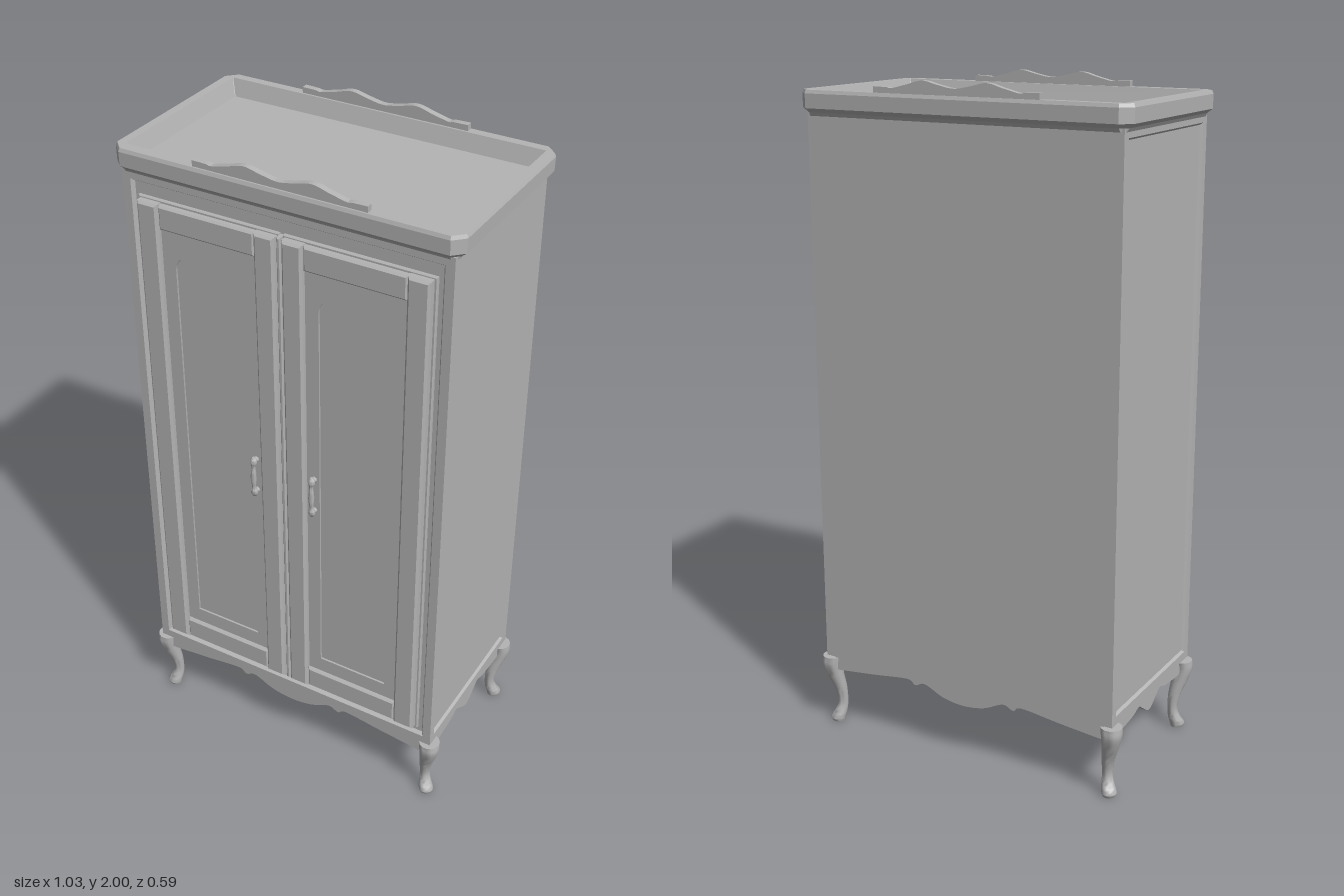
import * as THREE from 'three';
import { toCreasedNormals } from 'three/addons/utils/BufferGeometryUtils.js';

const wood = new THREE.MeshStandardMaterial({ color: 0xb4b4b4 });
wood.name = 'grey wood';

// Joins equal-length loops (counter-clockwise seen from +z, stacked along +z)
function skin(loops, { capStart = true, capEnd = true, crease = 0.3 } = {}) {
  const n = loops[0].length, pos = [], idx = [];
  loops.forEach(l => l.forEach(p => pos.push(...p)));
  for (let i = 0; i < loops.length - 1; i++) {
    for (let j = 0; j < n; j++) {
      const a = i * n + j, b = i * n + (j + 1) % n;
      idx.push(a, b, b + n, a, b + n, a + n);
    }
  }
  const last = (loops.length - 1) * n;
  for (let j = 1; j < n - 1; j++) {
    if (capStart) idx.push(0, j + 1, j);
    if (capEnd) idx.push(last, last + j, last + j + 1);
  }
  const g = new THREE.BufferGeometry();
  g.setAttribute('position', new THREE.Float32BufferAttribute(pos, 3));
  g.setIndex(idx);
  return toCreasedNormals(g, crease);
}

const rect = (x0, x1, y0, y1, z) => [[x0, y0, z], [x1, y0, z], [x1, y1, z], [x0, y1, z]];

// Block with a bevelled front edge
function slab(xa, xb, y0, y1, z0, z1, b) {
  const x0 = Math.min(xa, xb), x1 = Math.max(xa, xb);
  return skin([rect(x0, x1, y0, y1, z0), rect(x0, x1, y0, y1, z1 - b),
    rect(x0 + b, x1 - b, y0 + b, y1 - b, z1)]);
}

// Raised border with a sloping inner edge
function border(x0, x1, y0, y1, m, z0, z1, slope) {
  const inset = (d, z) => rect(x0 + d, x1 - d, y0 + d, y1 - d, z);
  return skin([inset(0, z0), inset(0, z1), inset(m, z1), inset(m + slope, z0)],
    { capStart: false, capEnd: false });
}

// Mirrors a half outline given from the end (+x) to the middle (x = 0)
const mirrored = half => [...half, ...half.slice(0, -1).reverse().map(([x, y]) => [-x, y])];

// Board with one straight edge at y and one wavy edge
function wavyBoard(half, y, depth) {
  const pts = mirrored(half).map(p => new THREE.Vector2(...p));
  const end = half[0][0];
  const shape = new THREE.Shape();
  shape.moveTo(-end, y).lineTo(end, y).lineTo(pts[0].x, pts[0].y);
  shape.splineThru(pts.slice(1));
  const g = new THREE.ExtrudeGeometry(shape, { depth, bevelEnabled: false, curveSegments: 48 });
  return toCreasedNormals(g.translate(0, 0, -depth / 2), 0.5);
}

// Smooth round limb along z through rows of [height, offset x, offset y, radius]
function limb(rows, sides, steps) {
  const path = new THREE.CatmullRomCurve3(rows.map(r => new THREE.Vector3(r[1], r[2], r[0])));
  const radii = new THREE.CatmullRomCurve3(rows.map(r => new THREE.Vector3(r[3], r[0], 0)));
  const loops = [];
  for (let i = 0; i <= steps; i++) {
    const p = path.getPoint(i / steps), r = radii.getPoint(i / steps).x;
    loops.push(Array.from({ length: sides }, (_, j) => {
      const a = j / sides * Math.PI * 2;
      return [p.x + r * Math.cos(a), p.y + r * Math.sin(a), p.z];
    }));
  }
  return skin(loops, { crease: 0.9 }).rotateX(-Math.PI / 2);
}

export function createModel() {
  const model = new THREE.Group();
  model.name = 'wardrobe';
  const add = (name, geo, x = 0, y = 0, z = 0, ry = 0, parent = model) => {
    const m = new THREE.Mesh(geo, wood);
    m.name = name;
    m.position.set(x, y, z);
    m.rotation.y = ry;
    parent.add(m);
    return m;
  };
  const midZ = -0.0065, bottom = 0.23, top = 1.9;

  // Carcass with raised borders on the front and sides
  add('carcass', new THREE.BoxGeometry(0.97, top - bottom, 0.53), 0, (top + bottom) / 2, -0.012);
  add('frontFrame', border(-0.493, 0.493, bottom, top, 0.026, 0.252, 0.264, 0.008));
  for (const s of [-1, 1]) {
    add('sideFrame', border(-0.2705, 0.2705, bottom, top, 0.026, 0.484, 0.493, 0.007),
      0, 0, midZ, s * Math.PI / 2);
  }
  add('backBoard', new THREE.BoxGeometry(0.986, top - bottom, 0.012), 0, (top + bottom) / 2, -0.2712);

  // Crown: chamfered moulding with a sunken tray on top
  const crownLoop = (hx, hz, c, y, mid = midZ - 0.002) =>
    [[hx, -hz + c], [hx, hz - c], [hx - c, hz], [-hx + c, hz],
      [-hx, hz - c], [-hx, -hz + c], [-hx + c, -hz], [hx - c, -hz]]
      .map(([x, v]) => [x, v - mid, y]);
  add('crown', skin([
    crownLoop(0.494, 0.271, 0.012, 1.89),
    crownLoop(0.5, 0.276, 0.02, 1.9),
    crownLoop(0.515, 0.289, 0.03, 1.912),
    crownLoop(0.516, 0.29, 0.031, 1.953),
    crownLoop(0.512, 0.286, 0.029, 1.963),
    crownLoop(0.487, 0.257, 0.001, 1.963, -0.011),
    crownLoop(0.471, 0.241, 0.001, 1.915, -0.011),
  ]).rotateX(-Math.PI / 2));

  // Carved crests at front and back of the crown
  const crest = [[0.257, 1.98], [0.215, 1.979], [0.198, 1.977], [0.15, 1.988],
    [0.1, 2.0], [0.05, 1.99], [0, 1.982]];
  const crestShape = new THREE.Shape();
  crestShape.moveTo(-0.257, 1.96).lineTo(0.257, 1.96).lineTo(0.257, 1.98);
  crestShape.splineThru(mirrored(crest).slice(1).map(p => new THREE.Vector2(...p)));
  for (const z of [0.254, -0.293]) {
    const g = new THREE.ExtrudeGeometry(crestShape, { depth: 0.019, bevelEnabled: false, curveSegments: 40 });
    add('crest', toCreasedNormals(g, 0.5), 0, 0, z);
  }

  // Scalloped aprons
  const longApron = [[0.465, 0.184], [0.32, 0.2], [0.2, 0.215], [0.17, 0.201],
    [0.135, 0.212], [0.07, 0.184], [0, 0.174]];
  const shortApron = [[0.225, 0.186], [0.12, 0.196], [0.075, 0.208], [0.05, 0.194], [0, 0.167]];
  for (const s of [-1, 1]) {
    add('longApron', wavyBoard(longApron, 0.235, 0.014), 0, 0, midZ + s * 0.259);
    add('sideApron', wavyBoard(shortApron, 0.235, 0.014), s * 0.48, 0, midZ, Math.PI / 2);
  }

  // Cabriole legs: [height, outward shift, radius]
  const legRows = [[0, -0.008, 0.019], [0.012, -0.007, 0.023], [0.03, -0.013, 0.02],
    [0.06, -0.019, 0.0155], [0.11, -0.015, 0.0195], [0.16, -0.004, 0.026],
    [0.2, 0.002, 0.031], [0.225, 0, 0.032]];
  for (const sx of [-1, 1]) {
    for (const sz of [-1, 1]) {
      add('leg', limb(legRows.map(([y, o, r]) => [y, sx * o, -sz * o, r]), 14, 24),
        sx * 0.483, 0, midZ + sz * 0.2525);
    }
  }

  // Doors
  for (const s of [-1, 1]) {
    const door = new THREE.Group();
    door.name = s > 0 ? 'leftDoor' : 'rightDoor';
    model.add(door);
    const part = (name, geo, x = 0, y = 0, z = 0) => add(name, geo, x, y, z, 0, door);
    part('doorBack', slab(s * 0.006, s * 0.447, 0.28, 1.832, 0.25, 0.262, 0.003));
    part('innerStile', slab(s * 0.011, s * 0.073, 0.288, 1.826, 0.255, 0.285, 0.007));
    part('outerStile', slab(s * 0.374, s * 0.439, 0.288, 1.826, 0.255, 0.285, 0.007));
    part('topRail', slab(s * 0.073, s * 0.374, 1.752, 1.824, 0.255, 0.279, 0.006));
    part('bottomRail', slab(s * 0.073, s * 0.374, 0.29, 0.362, 0.255, 0.279, 0.006));

    // Field with an arched recess
    const field = new THREE.Shape();
    field.moveTo(-0.152, 0.36).lineTo(0.152, 0.36).lineTo(0.152, 1.755).lineTo(-0.152, 1.755);
    const arch = new THREE.Path();
    arch.moveTo(-0.11, 0.412).lineTo(0.11, 0.412).lineTo(0.11, 1.635);
    arch.absellipse(0, 1.635, 0.11, 0.073, 0, Math.PI, false);
    field.holes.push(arch);
    part('archedPanel', toCreasedNormals(
      new THREE.ExtrudeGeometry(field, { depth: 0.01, bevelEnabled: false, curveSegments: 20 }), 0.5),
      s * 0.2235, 0, 0.258);

    // Handle with two posts
    const half = [[0.0675, 0, 0.005], [0.054, 0, 0.011], [0.038, 0.002, 0.006], [0, 0.003, 0.009]];
    const bar = mirrored(half.map(([y, o, r]) => [-y, [o, r]])).map(([y, [o, r]]) => [y, 0, -o, r]);
    part('handle', limb(bar, 8, 24), s * 0.096, 1.0375, 0.282);
    for (const y of [0.9835, 1.0915]) {
      part('handlePost', new THREE.CylinderGeometry(0.007, 0.01, 0.02, 8).rotateX(Math.PI / 2), s * 0.096, y, 0.275);
    }
  }
  // Strip where the doors meet
  add('meetingStrip', slab(-0.006, 0.006, 0.285, 1.828, 0.25, 0.278, 0.003));

  return model;
}
